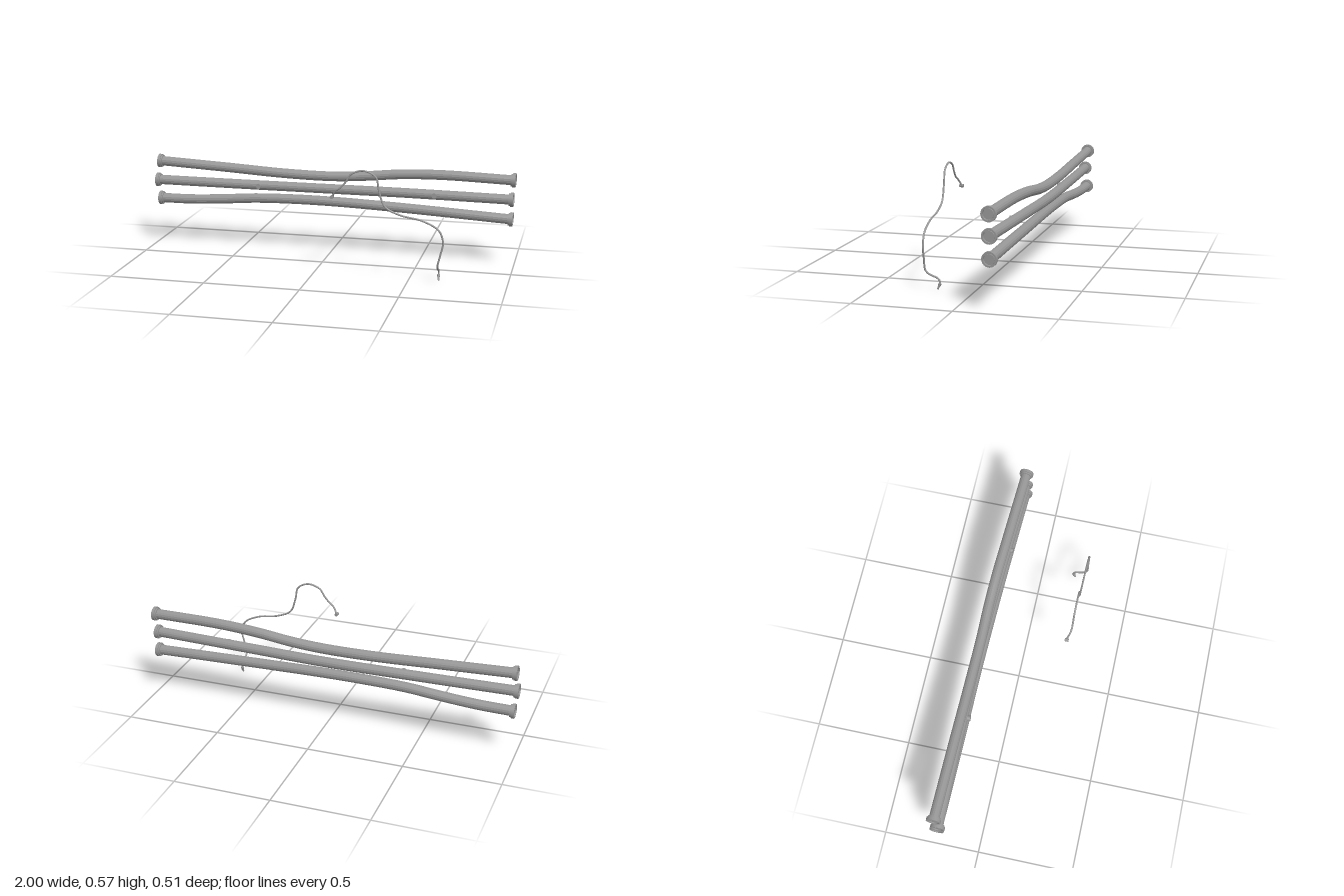
import * as THREE from 'three';

// Dark grey: smooth for the turned fittings, faceted for the tubes
const smooth = new THREE.MeshStandardMaterial({ color: 0x969696, side: THREE.DoubleSide });
const faceted = new THREE.MeshStandardMaterial({ color: 0x969696, side: THREE.DoubleSide, flatShading: true });
const UP = new THREE.Vector3(0, 1, 0);

function addMesh(parent, name, geometry, material = smooth) {
  const mesh = new THREE.Mesh(geometry, material);
  mesh.name = name;
  parent.add(mesh);
  return mesh;
}

const curveThrough = (points) =>
  new THREE.CatmullRomCurve3(points.map((p) => new THREE.Vector3(...p)), false, 'centripetal');

// Aim a y-axis part along a direction
function place(mesh, position, direction) {
  mesh.position.copy(position);
  mesh.quaternion.setFromUnitVectors(UP, direction.clone().normalize());
}

// Flanged end with a raised rim and a slightly recessed cap, outward along +y
function flangeGeometry() {
  const profile = [
    [0.026, -0.024], [0.033, -0.024], [0.033, -0.016], [0.0375, -0.016],
    [0.0375, 0], [0.029, 0], [0.029, -0.006], [0, -0.006],
  ];
  // Repeat corners so that the rim edges stay sharp
  const points = [];
  profile.forEach(([r, y], i) => {
    points.push(new THREE.Vector2(r, y));
    if (i > 0 && i < profile.length - 1) points.push(new THREE.Vector2(r, y));
  });
  return new THREE.LatheGeometry(points, 24);
}

function createPipe(name, points) {
  const pipe = new THREE.Group();
  pipe.name = name;
  const curve = curveThrough(points);
  addMesh(pipe, name + 'Tube', new THREE.TubeGeometry(curve, 64, 0.0265, 16), faceted);
  for (const [end, t, sign] of [['right', 0, -1], ['left', 1, 1]]) {
    const flange = addMesh(pipe, end + 'Flange', flangeGeometry());
    place(flange, curve.getPoint(t), curve.getTangent(t).multiplyScalar(sign));
  }
  return pipe;
}

export function createModel() {
  const model = new THREE.Group();
  model.name = 'pipesAndCable';

  // Three gently bent pipes
  model.add(createPipe('upperPipe', [
    [-0.988, 0.462, -0.216], [-0.6, 0.444, -0.212], [-0.25, 0.427, -0.207], [0.02, 0.425, -0.204],
    [0.2, 0.437, -0.205], [0.38, 0.456, -0.2], [0.6, 0.466, -0.189], [0.995, 0.461, -0.171],
  ]));
  const middle = createPipe('middlePipe', [
    [-0.998, 0.357, -0.2], [-0.5, 0.354, -0.206], [0, 0.353, -0.21], [0.4, 0.356, -0.198], [0.987, 0.357, -0.171],
  ]);
  model.add(middle);
  model.add(createPipe('lowerPipe', [
    [-0.987, 0.25, -0.213], [-0.8, 0.252, -0.21], [-0.6, 0.265, -0.207], [-0.42, 0.28, -0.204],
    [-0.2, 0.286, -0.203], [0.03, 0.285, -0.2], [0.4, 0.274, -0.192], [0.987, 0.25, -0.172],
  ]));

  // Small round fittings on the middle pipe
  for (const [x, y, z] of [[-0.4, 0.354, -0.178], [0.57, 0.357, -0.167]]) {
    const fitting = addMesh(middle, 'roundFitting', new THREE.CylinderGeometry(0.014, 0.014, 0.022, 16));
    fitting.position.set(x, y, z);
    fitting.rotation.x = Math.PI / 2;
  }

  // Thin looping cable
  const cable = new THREE.Group();
  cable.name = 'cable';
  model.add(cable);
  const path = curveThrough([
    [0.108, 0.422, 0.231], [0.115, 0.438, 0.237], [0.13, 0.457, 0.244], [0.15, 0.471, 0.248], [0.18, 0.505, 0.248],
    [0.207, 0.545, 0.248], [0.27, 0.565, 0.248], [0.332, 0.536, 0.248], [0.35, 0.465, 0.248],
    [0.38, 0.387, 0.248], [0.46, 0.347, 0.248], [0.57, 0.325, 0.249], [0.655, 0.28, 0.25],
    [0.678, 0.22, 0.25], [0.665, 0.15, 0.25], [0.653, 0.098, 0.249], [0.651, 0.08, 0.236],
    [0.65, 0.068, 0.213], [0.65, 0.058, 0.188], [0.65, 0.043, 0.175], [0.65, 0.022, 0.176],
  ]);
  addMesh(cable, 'cableTube', new THREE.TubeGeometry(path, 160, 0.0048, 10), faceted);

  // Cable end fittings
  const eyelet = addMesh(cable, 'upperEndFitting', new THREE.CylinderGeometry(0.009, 0.009, 0.021, 16));
  eyelet.position.set(0.104, 0.418, 0.232);
  eyelet.rotation.x = Math.PI / 2;

  const down = new THREE.Vector3(0, -0.9, 0.4);
  const collar = addMesh(cable, 'lowerEndCollar', new THREE.CylinderGeometry(0.0075, 0.0075, 0.014, 12));
  place(collar, new THREE.Vector3(0.65, 0.025, 0.176), down);
  const plug = addMesh(cable, 'lowerEndPlug', new THREE.CylinderGeometry(0.005, 0.005, 0.02, 12));
  place(plug, new THREE.Vector3(0.65, 0.0112, 0.182), down);

  return model;
}
